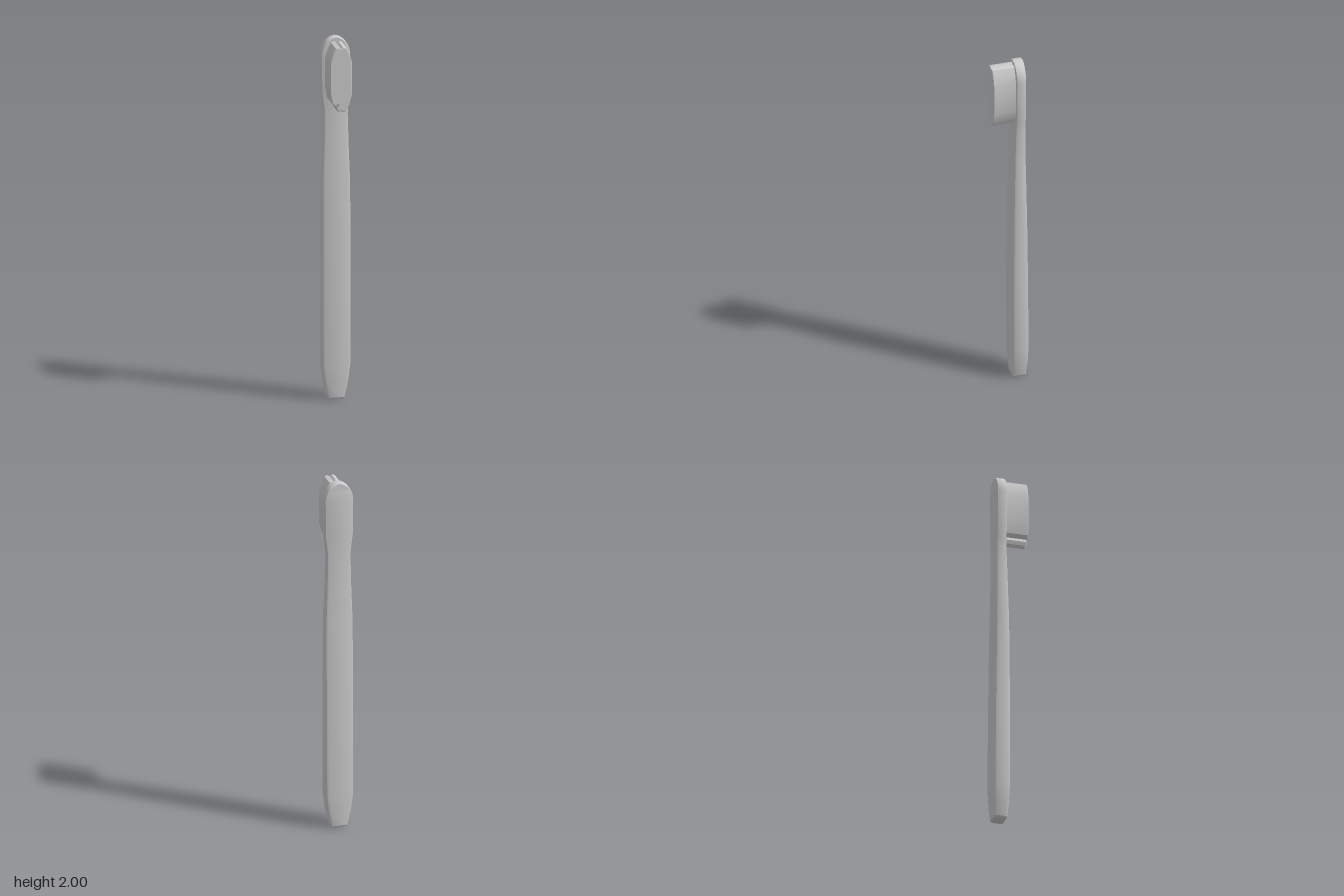
import * as THREE from 'three';
import { toCreasedNormals } from 'three/addons/utils/BufferGeometryUtils.js';

const material = new THREE.MeshStandardMaterial({ color: 0xcccccc });

// Chamfered rectangle section at height y, half width w, depth zb..zf, chamfer c
function section([y, w, zb, zf, c]) {
  const cx = Math.min(c, w * 0.5);
  return [
    [w, zb + c], [w, zf - c], [w - cx * 0.3, zf - c * 0.3], [w - cx, zf],
    [cx - w, zf], [cx * 0.3 - w, zf - c * 0.3], [-w, zf - c], [-w, zb + c],
    [cx * 0.3 - w, zb + c * 0.3], [cx - w, zb], [w - cx, zb], [w - cx * 0.3, zb + c * 0.3],
  ].map(([x, z]) => [x, y, z]);
}

// Skin a stack of sections from bottom to top and close both ends
function loft(rows) {
  const rings = rows.map(section);
  const n = rings[0].length;
  const index = [];
  for (let i = 0; i < rings.length - 1; i++) {
    for (let j = 0; j < n; j++) {
      const k = (j + 1) % n;
      const a = i * n + j, b = i * n + k;
      index.push(a, a + n, b + n, a, b + n, b);
    }
  }
  const top = (rings.length - 1) * n;
  for (let j = 1; j < n - 1; j++) {
    index.push(0, j, j + 1, top, top + j + 1, top + j);
  }
  const geo = new THREE.BufferGeometry();
  geo.setAttribute('position', new THREE.Float32BufferAttribute(rings.flat(2), 3));
  geo.setIndex(index);
  return toCreasedNormals(geo, 0.45);
}

export function createModel() {
  const group = new THREE.Group();

  // Handle, neck and round-topped head as one continuous body
  const rows = [
    [0, 0.038, -0.084, -0.02, 0.008],
    [0.01, 0.046, -0.09, -0.014, 0.012],
    [0.1, 0.065, -0.094, -0.01, 0.014],
    [0.19, 0.076, -0.096, -0.008, 0.015],
    [0.6, 0.077, -0.093, -0.008, 0.015],
    [1.0, 0.077, -0.088, -0.01, 0.015],
    [1.2, 0.076, -0.084, -0.014, 0.014],
    [1.4, 0.069, -0.081, -0.019, 0.013],
    [1.58, 0.065, -0.08, -0.025, 0.011],
    [1.63, 0.069, -0.08, -0.027, 0.009],
    [1.7, 0.077, -0.08, -0.027, 0.007],
  ];
  const steps = 10;
  for (let i = 0; i <= steps; i++) {
    const t = (i / steps) * Math.PI * 0.47;
    rows.push([1.9 + 0.1 * Math.sin(t) / Math.sin(Math.PI * 0.47),
      0.078 * Math.cos(t), -0.08, -0.027, 0.007]);
  }
  const body = new THREE.Mesh(loft(rows), material);
  body.name = 'handleAndHead';
  group.add(body);

  // Bristle block: long outline with a notch at the top and a small nick below
  const outline = [
    [0, 1.964], [-0.012, 1.976], [-0.026, 1.972], [-0.04, 1.945], [-0.056, 1.89],
    [-0.056, 1.73], [-0.045, 1.672], [-0.03, 1.658], [-0.022, 1.668], [-0.008, 1.662],
    [-0.018, 1.642], [-0.014, 1.628], [0.002, 1.636], [0.01, 1.624], [0.022, 1.626],
    [0.04, 1.66], [0.056, 1.72], [0.056, 1.89], [0.04, 1.945], [0.026, 1.972], [0.012, 1.976],
  ];
  const shape = new THREE.Shape(outline.map(([x, y]) => new THREE.Vector2(x, y)));
  const geo = new THREE.ExtrudeGeometry(shape, {
    depth: 0.131, bevelEnabled: true, bevelThickness: 0.004, bevelSize: 0.004, bevelSegments: 1,
  });
  geo.translate(0, 0, -0.038);
  const bristles = new THREE.Mesh(toCreasedNormals(geo, 0.35), material);
  bristles.name = 'bristles';
  group.add(bristles);

  return group;
}
